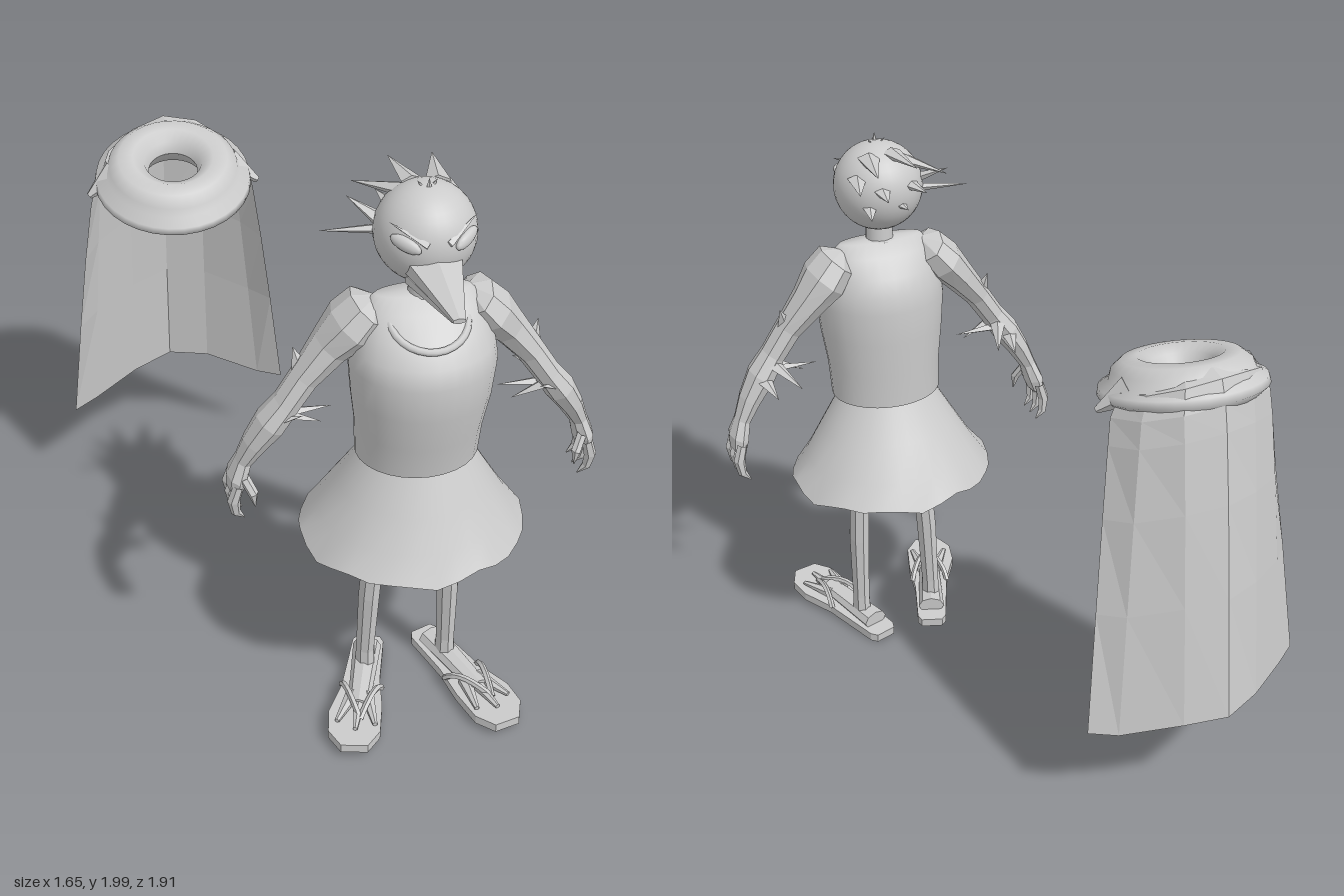
import * as THREE from 'three';

const V = (x, y, z) => new THREE.Vector3(x, y, z);
const smooth = new THREE.MeshStandardMaterial({ color: 0xcccccc, side: THREE.DoubleSide });
const faceted = new THREE.MeshStandardMaterial({ color: 0xcccccc, side: THREE.DoubleSide, flatShading: true });

function add(parent, name, geo, mat = smooth) {
  const mesh = new THREE.Mesh(geo, mat);
  mesh.name = name;
  parent.add(mesh);
  return mesh;
}

// Grid of points (rows x cols) to a surface, optionally closed around
function gridGeo(rows, closed) {
  const n = rows[0].length, idx = [];
  for (let i = 0; i < rows.length - 1; i++)
    for (let j = 0; j < (closed ? n : n - 1); j++) {
      const k = (j + 1) % n, a = i * n + j, b = i * n + k, c = b + n, d = a + n;
      idx.push(a, b, c, a, c, d);
    }
  const g = new THREE.BufferGeometry().setFromPoints(rows.flat());
  g.setIndex(idx);
  g.computeVertexNormals();
  return g;
}

// Loft of elliptical sections [x, y, z, radius across, radius in z]; s mirrors x
function loft(sections, sides, s = 1) {
  const p = sections.map(q => V(q[0] * s, q[1], q[2]));
  return gridGeo(sections.map((q, i) => {
    const t = p[Math.min(i + 1, p.length - 1)].clone().sub(p[Math.max(i - 1, 0)]).setZ(0).normalize();
    return Array.from({ length: sides }, (_, j) => {
      const a = (j / sides) * Math.PI * 2, c = Math.cos(a) * q[3];
      return V(-t.y * c, t.x * c, Math.sin(a) * (q[4] ?? q[3])).add(p[i]);
    });
  }), true);
}

// Pointed piece from a to b, w wide and h thick at the base
function spike(a, b, w, h, sides = 4, tip = 0.03) {
  const dir = b.clone().sub(a), len = dir.length();
  dir.normalize();
  const ref = Math.abs(dir.y) > 0.9 ? V(0, 0, 1) : V(0, 1, 0);
  const side = dir.clone().cross(ref).normalize();
  const m = new THREE.Matrix4().makeBasis(side, dir, side.clone().cross(dir));
  m.setPosition(a.clone().add(b).multiplyScalar(0.5));
  return new THREE.CylinderGeometry(tip, 1, len, sides).scale(w, 1, h).applyMatrix4(m);
}

function buildHead(body) {
  const head = new THREE.Group();
  head.name = 'head';
  body.add(head);
  add(head, 'skull', new THREE.SphereGeometry(0.155, 32, 20).translate(0, 1.82, 0.58));
  add(head, 'neck', new THREE.CylinderGeometry(0.045, 0.052, 0.16, 16).translate(0, 1.63, 0.59));
  add(head, 'upperBeak', spike(V(0, 1.765, 0.67), V(0, 1.745, 0.96), 0.1, 0.047, 6, 0.2), faceted);
  add(head, 'lowerBeak', spike(V(0, 1.71, 0.66), V(0, 1.732, 0.94), 0.09, 0.028, 6, 0.2), faceted);
  for (const s of [1, -1]) {
    const eye = add(head, 'eye', new THREE.SphereGeometry(1, 14, 8).scale(0.052, 0.022, 0.016));
    eye.position.set(s * 0.09, 1.85, 0.7);
    eye.rotation.set(-0.2, s * 0.65, s * 0.4);
    add(head, 'brow', spike(V(s * 0.03, 1.852, 0.728), V(s * 0.13, 1.905, 0.66), 0.014, 0.012), faceted);
  }
  // Swept-back head feathers: start, end, width
  const feathers = [
    [-0.06, 1.93, 0.52, -0.18, 1.9, 0.39, 0.035], [-0.03, 1.95, 0.52, -0.06, 1.95, 0.35, 0.035],
    [0.05, 1.94, 0.52, 0.08, 1.94, 0.34, 0.04], [0.1, 1.88, 0.5, 0.13, 1.87, 0.38, 0.035],
    [-0.07, 1.85, 0.48, -0.1, 1.85, 0.37, 0.035], [0.03, 1.85, 0.47, 0.04, 1.84, 0.36, 0.04],
    [-0.03, 1.79, 0.47, -0.04, 1.79, 0.39, 0.03], [0.07, 1.79, 0.47, 0.09, 1.77, 0.39, 0.03],
    [-0.12, 1.81, 0.53, -0.3, 1.805, 0.5, 0.025], [-0.12, 1.84, 0.54, -0.21, 1.89, 0.46, 0.035],
    [0, 1.96, 0.6, 0, 2, 0.6, 0.012], [-0.01, 1.96, 0.59, -0.03, 1.985, 0.58, 0.012],
    [0.01, 1.96, 0.59, 0.03, 1.985, 0.58, 0.012]];
  for (const f of feathers)
    add(head, 'headFeather', spike(V(f[0], f[1], f[2]), V(f[3], f[4], f[5]), f[6], f[6] * 0.55, 5), faceted);
}

function buildClothes(body) {
  add(body, 'vest', loft([
    [0, 1.03, 0.585, 0.2, 0.172], [0, 1.15, 0.595, 0.205, 0.185], [0, 1.28, 0.608, 0.222, 0.203],
    [0, 1.4, 0.612, 0.232, 0.208], [0, 1.46, 0.608, 0.222, 0.19], [0, 1.52, 0.595, 0.205, 0.155],
    [0, 1.58, 0.585, 0.185, 0.09], [0, 1.62, 0.585, 0.15, 0.045], [0, 1.625, 0.585, 0.01, 0.01]], 28));
  const collar = add(body, 'neckline', new THREE.TorusGeometry(0.12, 0.012, 8, 28));
  collar.position.set(0, 1.56, 0.655);
  collar.rotation.x = -1.1;
  // Flared skirt with a wavy hem
  const skirt = loft([
    [0, 0.7, 0.56, 0.375, 0.34], [0, 0.79, 0.56, 0.315, 0.285], [0, 0.9, 0.57, 0.25, 0.225],
    [0, 1.03, 0.58, 0.175, 0.15], [0, 1.1, 0.58, 0.13, 0.125]], 32);
  const pos = skirt.attributes.position;
  for (let j = 0; j < 32; j++) pos.setY(j, 0.7 + 0.02 * Math.cos(j * Math.PI / 2) * Math.sin(j * 0.4 + 1));
  skirt.computeVertexNormals();
  add(body, 'skirt', skirt);
}

function buildArm(body, s) {
  const arm = new THREE.Group();
  arm.name = s > 0 ? 'leftArm' : 'rightArm';
  body.add(arm);
  add(arm, 'armSkin', loft([
    [0.14, 1.6, 0.57, 0.01], [0.17, 1.57, 0.57, 0.065, 0.1], [0.22, 1.51, 0.565, 0.075, 0.115],
    [0.28, 1.44, 0.56, 0.06, 0.085], [0.36, 1.34, 0.57, 0.046, 0.06], [0.42, 1.25, 0.575, 0.044, 0.058],
    [0.47, 1.18, 0.57, 0.05, 0.068], [0.52, 1.1, 0.56, 0.04, 0.055], [0.555, 1.03, 0.55, 0.03, 0.042],
    [0.575, 0.97, 0.545, 0.035, 0.065], [0.583, 0.93, 0.54, 0.028, 0.065], [0.585, 0.9, 0.54, 0.004]], 8, s), faceted);
  // Fingers and thumb curl inward
  for (const z of [0.485, 0.54, 0.595])
    add(arm, 'finger', loft([[0.578, 0.96, z, 0.018], [0.595, 0.9, z - 0.003, 0.021], [0.588, 0.85, z - 0.008, 0.016],
      [0.56, 0.82, z - 0.012, 0.002]], 6, s), faceted);
  add(arm, 'thumb', loft([[0.56, 0.99, 0.59, 0.018], [0.535, 0.94, 0.615, 0.017], [0.53, 0.89, 0.62, 0.002]], 6, s), faceted);
  // Elbow feathers: start, end
  const tufts = [[0.43, 1.23, 0.54, 0.37, 1.19, 0.39], [0.45, 1.2, 0.56, 0.27, 1.2, 0.55], [0.43, 1.22, 0.59, 0.31, 1.165, 0.58],
    [0.47, 1.18, 0.53, 0.45, 1.15, 0.42], [0.37, 1.36, 0.56, 0.39, 1.43, 0.54], [0.46, 1.2, 0.6, 0.38, 1.24, 0.64]];
  for (const t of tufts)
    add(arm, 'elbowFeather', spike(V(t[0] * s, t[1], t[2]), V(t[3] * s, t[4], t[5]), 0.03, 0.018), faceted);
}

function buildLeg(body, s) {
  const leg = new THREE.Group();
  leg.name = s > 0 ? 'leftLeg' : 'rightLeg';
  body.add(leg);
  add(leg, 'shin', loft([
    [0.145, 0.05, 0.56, 0.036, 0.05], [0.145, 0.14, 0.56, 0.033, 0.042], [0.138, 0.4, 0.57, 0.038, 0.05],
    [0.125, 0.62, 0.575, 0.037, 0.048], [0.122, 0.9, 0.575, 0.04, 0.05], [0.122, 0.91, 0.575, 0.002]], 8, s), faceted);

  // Sandal and foot, turned outward about the heel, slightly raised at the toe
  const foot = new THREE.Group();
  foot.name = 'foot';
  foot.position.set(s * 0.118, 0.008, 0.48);
  foot.rotation.set(-0.04, s * 0.33, 0, 'YXZ');
  leg.add(foot);
  const outline = [[-0.055, 0.04], [-0.04, 0.065], [0.04, 0.065], [0.055, 0.04], [0.07, -0.2], [0.1, -0.33], [0.09, -0.42],
    [0.04, -0.48], [-0.05, -0.47], [-0.085, -0.4], [-0.08, -0.28], [-0.06, -0.15]];
  const sole = new THREE.Shape(outline.map(q => new THREE.Vector2(q[0] * s, q[1])));
  const soleGeo = new THREE.ExtrudeGeometry(sole, { depth: 0.032, bevelEnabled: false }).rotateX(-Math.PI / 2);
  add(foot, 'sandalSole', soleGeo, faceted);
  add(foot, 'footSkin', spike(V(0, 0.05, 0), V(0, 0.045, 0.3), 0.05, 0.035, 8, 0.75), faceted);
  for (const k of [-1, 0, 1]) {
    add(foot, 'toe', spike(V(k * 0.025, 0.047, 0.25), V(k * 0.065, 0.042, 0.41 - Math.abs(k) * 0.03), 0.026, 0.022, 6, 0.35), faceted);
    if (k) {
      const strap = new THREE.QuadraticBezierCurve3(V(k * 0.07, 0.03, 0.19), V(k * 0.05, 0.11, 0.25), V(0.012, 0.04, 0.36));
      add(foot, 'sandalStrap', new THREE.TubeGeometry(strap, 8, 0.011, 5), faceted);
    }
  }
}

function buildCloak() {
  const cloak = new THREE.Group();
  cloak.name = 'cloak';
  // Thick rolled collar, tilted up at the back
  const profile = [[0.085, 0], [0.1, 0.04], [0.14, 0.065], [0.19, 0.06], [0.225, 0.03], [0.235, 0], [0.27, -0.02], [0.275, -0.045],
    [0.24, -0.075], [0.17, -0.085], [0.11, -0.055], [0.085, 0]].map(q => new THREE.Vector2(q[0], q[1]));
  const roll = add(cloak, 'rolledCollar', new THREE.LatheGeometry(profile, 32));
  roll.position.set(-0.41, 1.5, -0.52);
  roll.rotation.x = 0.27;

  // Hanging cloth, lofted from the shoulder line down to the hem
  const shoulder = [[-0.69, -0.56], [-0.65, -0.66], [-0.54, -0.74], [-0.41, -0.79], [-0.28, -0.77], [-0.18, -0.69], [-0.13, -0.58]];
  const hem = [[-0.83, -0.67], [-0.74, -0.74], [-0.57, -0.87], [-0.42, -0.95], [-0.27, -0.92], [-0.08, -0.83], [0.01, -0.78]];
  const hemY = [0.4, 0.4, 0.42, 0.43, 0.42, 0.37, 0.37], topY = [1.43, 1.46, 1.5, 1.52, 1.5, 1.46, 1.43];
  const rows = [0, 0.08, 0.3, 0.6, 1].map(t => shoulder.map((q, j) => {
    const u = Math.pow(t, 0.85);
    return V(THREE.MathUtils.lerp(q[0], hem[j][0], u), THREE.MathUtils.lerp(topY[j], hemY[j], t),
      THREE.MathUtils.lerp(q[1], hem[j][1], u));
  }));
  // Cloth drawn over the back of the collar
  for (const [k, lift] of [[0.88, 0.075], [0.66, 0.085]])
    rows.unshift(shoulder.map((q, j) => V(-0.41 + (q[0] + 0.41) * k, topY[j] + lift, -0.52 + (q[1] + 0.52) * k)));
  add(cloak, 'hangingCloth', gridGeo(rows.reverse(), false), faceted);

  // Gathered points where cloth meets collar
  for (const s of [1, -1])
    add(cloak, 'collarGather', spike(V(-0.41 + s * 0.2, 1.5, -0.55), V(-0.41 + s * 0.3, 1.43, -0.52), 0.07, 0.05, 5, 0.2), faceted);
  return cloak;
}

export function createModel() {
  const model = new THREE.Group();
  model.name = 'birdFigureWithCloak';
  const body = new THREE.Group();
  body.name = 'birdFigure';
  body.position.x = 0.2;
  buildHead(body);
  buildClothes(body);
  for (const s of [1, -1]) {
    buildArm(body, s);
    buildLeg(body, s);
  }
  model.add(body, buildCloak());
  return model;
}
